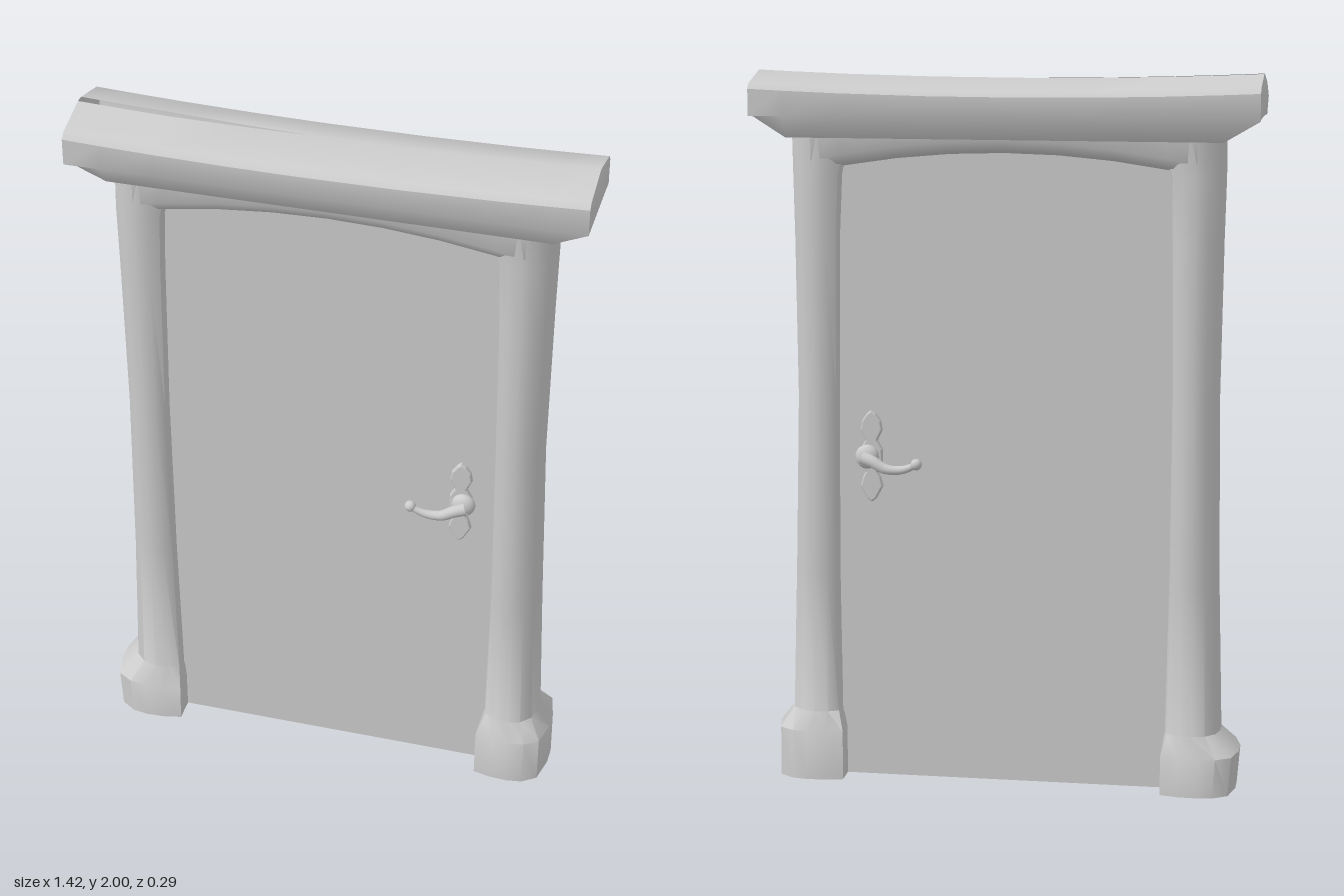
import * as THREE from 'three';
import { toCreasedNormals } from 'three/addons/utils/BufferGeometryUtils.js';

const grey = new THREE.MeshStandardMaterial({ color: 0xcccccc, side: THREE.DoubleSide });

function part(name, geometry) {
  const mesh = new THREE.Mesh(geometry, grey);
  mesh.name = name;
  return mesh;
}

// Skin over a row of cross-sections; optional fan caps close the first and last one.
function loft(sections, { closed = true, capStart, capEnd, crease = 0.7 } = {}) {
  const n = sections[0].length;
  const points = sections.flat();
  const index = [];
  for (let i = 0; i < sections.length - 1; i++) {
    for (let j = 0; j < (closed ? n : n - 1); j++) {
      const a = i * n + j, b = i * n + (j + 1) % n;
      index.push(a, b, a + n, b, b + n, a + n);
    }
  }
  const cap = (center, first, flip) => {
    points.push(center);
    const c = points.length - 1;
    for (let j = 0; j < n; j++) {
      const a = first + j, b = first + (j + 1) % n;
      index.push(c, flip ? b : a, flip ? a : b);
    }
  };
  if (capStart) cap(capStart, 0, true);
  if (capEnd) cap(capEnd, (sections.length - 1) * n, false);
  const geometry = new THREE.BufferGeometry();
  geometry.setAttribute('position', new THREE.Float32BufferAttribute(points.flat(), 3));
  geometry.setIndex(index);
  return toCreasedNormals(geometry, crease);
}

// Half outlines from the inner to the outer side: [share of width, share of depth]
const postOutline = [[0, 0.5], [0.06, 0.78], [0.25, 0.95], [0.5, 1], [0.75, 0.88], [0.93, 0.6], [1, 0.2]];
const footOutline = [[0, 0.5], [0, 0.9], [0.25, 0.98], [0.5, 1], [0.72, 0.95], [0.92, 0.75], [1, 0.2]];

// Post with its flared foot; rows of [y, inner x, outer x, half depth, outline]
function post(name, side, rows) {
  const sections = rows.map(([y, inner, outer, depth, outline]) => {
    const half = outline.map(([u, w]) => [side * (inner + u * (outer - inner)), y, w * depth]);
    const ring = [...half, ...half.map(([x, h, z]) => [x, h, -z]).reverse()];
    return side > 0 ? ring : ring.reverse();
  });
  return part(name, loft(sections, { capStart: [side * 0.55, 0, 0] }));
}

// Heavy top beam: sagging ridge, sloped underside and a crack along the left of the ridge
function lintel() {
  const xs = [-0.7, -0.6, -0.45, -0.25, -0.06, 0.2, 0.45, 0.6, 0.695];
  const sections = xs.map((x, i) => {
    const end = i === 0 || i === xs.length - 1;
    const ridge = 1.982 + 0.034 * x * x;
    const depth = 0.14 - 0.006 * x;
    const crack = x < -0.06 ? Math.min(0.012, (-0.06 - x) * 0.03) : 0;
    const low = end ? 1.885 : 1.82;
    const lowDepth = end ? depth * 0.9 : 0.1;
    const half = [
      [x, ridge, crack], [x, ridge - 0.03, depth * 0.9], [x, ridge - 0.045, depth],
      [x, 1.88, depth], [x, low, lowDepth], [x, low, 0.01],
    ];
    return [...half, ...half.map(([a, b, z]) => [a, b, -z]).reverse()];
  });
  return part('lintel', loft(sections, {
    closed: false, capStart: [-0.712, 1.94, 0], capEnd: [0.71, 1.94, 0],
  }));
}

// Arched transition between the lintel and the door panel
function header() {
  const xs = [-0.53, -0.45, -0.3, -0.15, 0, 0.15, 0.3, 0.45, 0.53];
  const sections = xs.map((x) => {
    const arch = 1.78 - 0.2 * x * x;
    const half = [[x, 1.85, 0.1], [x, arch + 0.035, 0.098], [x, arch + 0.01, 0.082], [x, arch, 0.05]];
    return [...half, ...half.map(([a, b, z]) => [a, b, -z]).reverse()];
  });
  return part('header', loft(sections, { crease: 1.2 }));
}

// Lever handle on an ornamental plate, built on the front face
function handle(name, face) {
  const group = new THREE.Group();
  group.name = name;
  const cx = 0.375;

  const edge = [[0.012, 0.81], [0.031, 0.845], [0.024, 0.87], [0.016, 0.885], [0.03, 0.91], [0.03, 0.95],
    [0.016, 0.975], [0.03, 1.005], [0.026, 1.03], [0.012, 1.05]];
  const outline = [[0, 0.8], ...edge, [0, 1.06], ...edge.map(([x, y]) => [-x, y]).reverse()];
  const plateShape = new THREE.Shape(outline.map(([x, y]) => new THREE.Vector2(cx + x, y)));
  const plate = part('handlePlate', new THREE.ExtrudeGeometry(plateShape, {
    depth: 0.008, bevelThickness: 0.008, bevelSize: 0.005, bevelOffset: -0.004, bevelSegments: 3,
  }));
  plate.position.z = face - 0.002;

  const rosette = part('handleRosette', new THREE.SphereGeometry(0.034, 24, 16));
  rosette.scale.z = 0.65;
  rosette.position.set(0.385, 0.93, face + 0.018);

  // Curved lever, thick at the spindle and slimmer towards the tip
  const path = new THREE.CatmullRomCurve3([[0.395, 0.93, 0.035], [0.365, 0.92, 0.042], [0.33, 0.902, 0.045],
    [0.29, 0.899, 0.045], [0.265, 0.905, 0.045], [0.243, 0.916, 0.045]]
    .map(([x, y, z]) => new THREE.Vector3(x, y, face + z)));
  const steps = 32, sides = 12;
  const lever = new THREE.TubeGeometry(path, steps, 1, sides);
  const position = lever.attributes.position;
  for (let i = 0; i < position.count; i++) {
    const t = Math.floor(i / (sides + 1)) / steps;
    const center = path.getPointAt(t);
    const p = new THREE.Vector3().fromBufferAttribute(position, i).sub(center);
    p.multiplyScalar(0.019 - 0.01 * t).add(center);
    position.setXYZ(i, p.x, p.y, p.z);
  }
  const tip = part('leverTip', new THREE.SphereGeometry(0.016, 20, 14));
  tip.position.set(0.241, 0.917, face + 0.045);
  group.add(plate, rosette, part('lever', lever), tip);
  return group;
}

export function createModel() {
  const model = new THREE.Group();
  model.name = 'door';

  const panelHalf = 0.055;
  const panel = part('doorPanel', new THREE.BoxGeometry(0.98, 1.8, panelHalf * 2));
  panel.position.y = 0.9;

  const leftPost = post('leftPost', 1, [
    [0, 0.455, 0.655, 0.137, footOutline], [0.14, 0.455, 0.655, 0.132, footOutline],
    [0.19, 0.465, 0.617, 0.1, postOutline], [0.6, 0.468, 0.604, 0.098, postOutline],
    [1.1, 0.464, 0.591, 0.098, postOutline], [1.55, 0.458, 0.595, 0.1, postOutline],
    [1.72, 0.45, 0.598, 0.1, postOutline], [1.85, 0.42, 0.6, 0.1, postOutline],
  ]);
  const rightPost = post('rightPost', -1, [
    [0, 0.45, 0.655, 0.137, footOutline], [0.11, 0.45, 0.664, 0.132, footOutline],
    [0.165, 0.455, 0.61, 0.1, postOutline], [0.6, 0.462, 0.598, 0.098, postOutline],
    [1.1, 0.465, 0.592, 0.098, postOutline], [1.55, 0.46, 0.598, 0.1, postOutline],
    [1.72, 0.455, 0.602, 0.1, postOutline], [1.85, 0.42, 0.602, 0.1, postOutline],
  ]);

  const frontHandle = handle('frontHandle', panelHalf);
  const backHandle = handle('backHandle', panelHalf);
  backHandle.scale.z = -1;

  model.add(panel, leftPost, rightPost, header(), lintel(), frontHandle, backHandle);
  return model;
}
